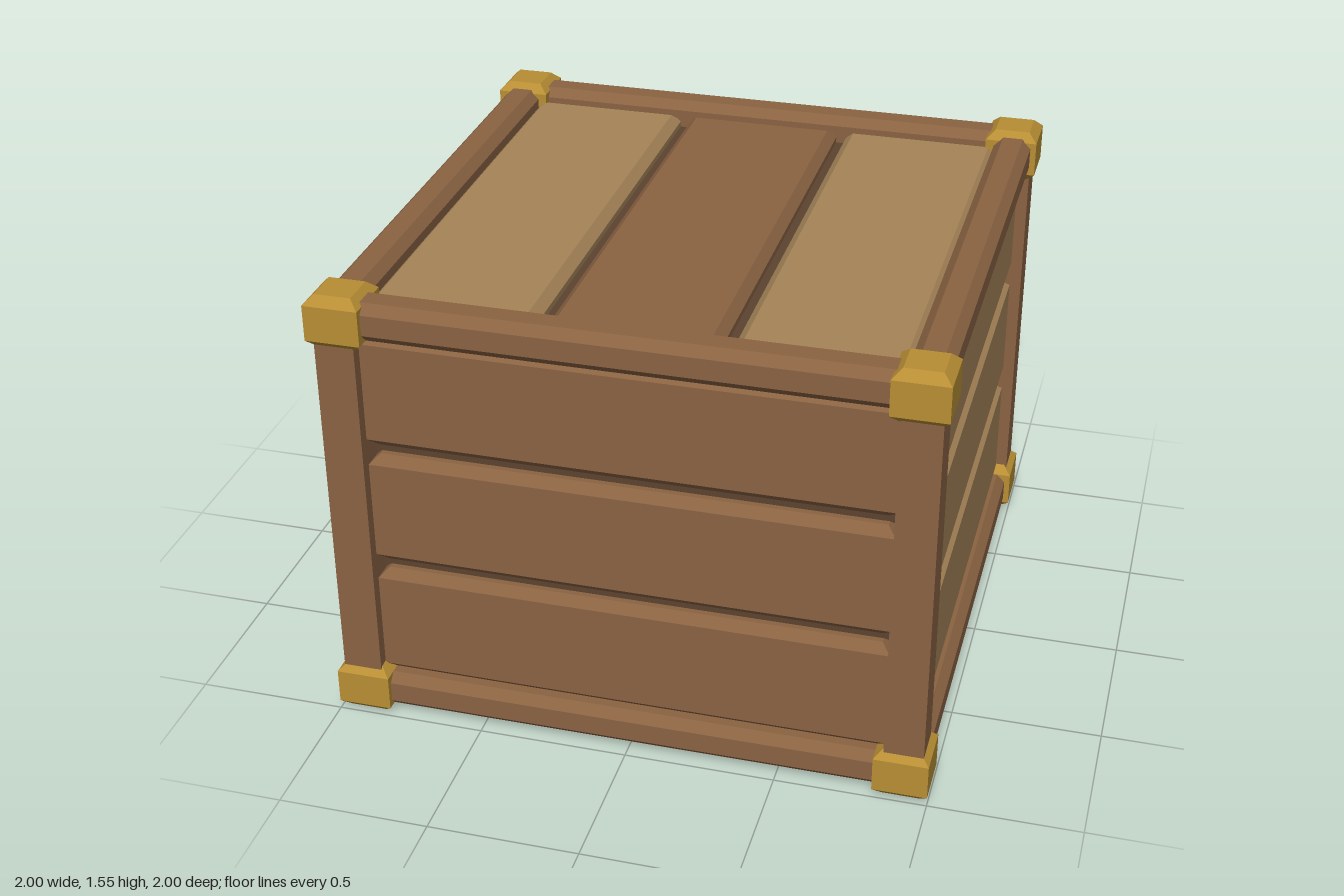
import * as THREE from 'three';

const material = (name, color) => {
  const m = new THREE.MeshStandardMaterial({ color });
  m.name = name;
  return m;
};

// Box whose top and bottom rims are chamfered by c on all four sides.
function chamferBox(w, h, d, c) {
  const geo = new THREE.BoxGeometry(w, h, d, 1, 3, 1);
  const p = geo.attributes.position;
  for (let i = 0; i < p.count; i++) {
    const x = p.getX(i), y = p.getY(i), z = p.getZ(i);
    if (Math.abs(y) > h * 0.4) {
      p.setXYZ(i, x - Math.sign(x) * c, y, z - Math.sign(z) * c);
    } else {
      p.setY(i, Math.sign(y) * (h / 2 - c));
    }
  }
  const flat = geo.toNonIndexed();
  flat.computeVertexNormals();
  return flat;
}

export function createModel() {
  const brown = material('brown wood', 0x8a6342);
  const tan = material('tan wood', 0xa68558);
  const dark = material('dark wood', 0x5c4330);
  const gold = material('gold metal', 0xb88e34);

  const H = 1.553, C = 0.03, EDGE = 0.915;
  const group = new THREE.Group();
  group.name = 'crate';

  const add = (name, geo, mat, x, y, z, parent = group) => {
    const mesh = new THREE.Mesh(geo, mat);
    mesh.name = name;
    mesh.position.set(x, y, z);
    parent.add(mesh);
    return mesh;
  };

  // Dark inner box, seen in the gaps and underneath
  add('innerBox', new THREE.BoxGeometry(1.74, 1.36, 1.74), dark, 0, 0.76, 0);

  // Three stacked planks on each side: front, right, back, left
  const sidePlank = chamferBox(1.7, 0.4, 0.08, C);
  [['front', brown], ['right', tan], ['back', tan], ['left', brown]].forEach(([side, mat], i) => {
    const wall = new THREE.Group();
    wall.name = side + 'Wall';
    wall.rotation.y = i * Math.PI / 2;
    for (let k = -1; k <= 1; k++) add('wallPlank', sidePlank, mat, 0, H / 2 + k * 0.433, 0.9, wall);
    group.add(wall);
  });

  // Lid planks
  const lidPlank = chamferBox(0.55, 0.09, 1.72, C);
  for (let k = -1; k <= 1; k++) add('lidPlank', lidPlank, k ? tan : brown, k * 0.585, 1.445, 0);

  // Frame: posts, beams and metal corner caps
  const post = new THREE.BoxGeometry(0.13, 1.45, 0.13);
  const beamX = chamferBox(1.92, 0.13, 0.13, C);
  const beamZ = chamferBox(0.13, 0.13, 1.92, C);
  const cap = chamferBox(0.18, 0.18, 0.18, C);
  for (const s of [-1, 1]) {
    for (const t of [-1, 1]) add('cornerPost', post, brown, s * EDGE, H / 2, t * EDGE);
    for (const y of [0.085, H - 0.085]) {
      add('crossBeam', beamX, brown, 0, y, s * EDGE);
      add('sideBeam', beamZ, brown, s * EDGE, y, 0);
    }
    for (const t of [-1, 1]) {
      for (const y of [0.09, H - 0.09]) add('cornerCap', cap, gold, s * 0.91, y, t * 0.91);
    }
  }
  return group;
}
